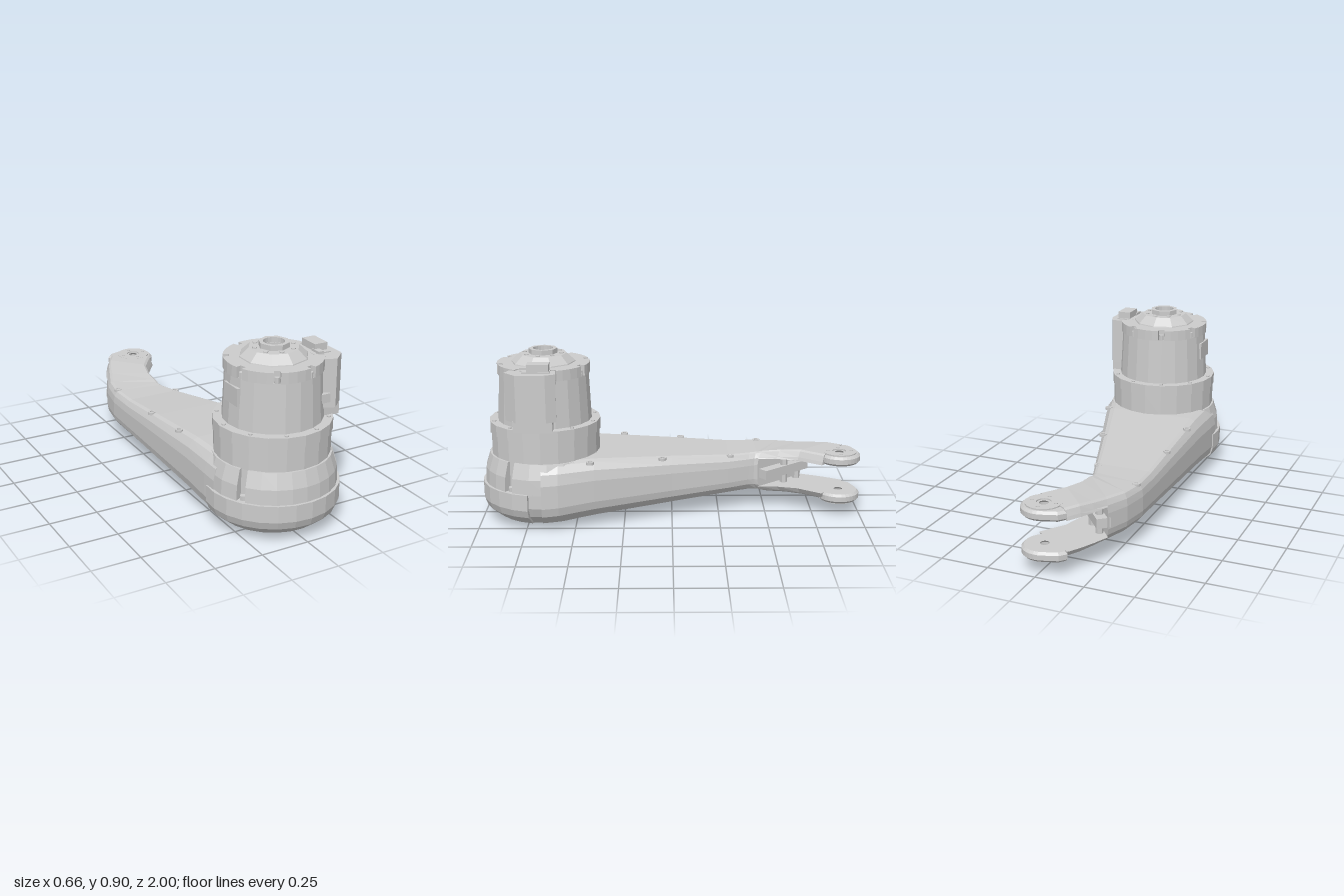
import * as THREE from 'three';

const mat = new THREE.MeshStandardMaterial({ color: 0xcccccc, flatShading: true, side: THREE.DoubleSide });
const CZ = 0.665; // motor axis
const rad = THREE.MathUtils.degToRad;

export function createModel() {
  const model = new THREE.Group();
  const add = (name, geo, x = 0, y = 0, z = 0, parent = model) => {
    const m = new THREE.Mesh(geo, mat);
    m.name = name;
    m.position.set(x, y, z);
    parent.add(m);
    return m;
  };
  const group = (name) => {
    const g = new THREE.Group();
    g.name = name;
    model.add(g);
    return g;
  };
  const vecs = (pts) => pts.map(([x, y]) => new THREE.Vector2(x, y));
  const lathe = (pts, n = 20) => new THREE.LatheGeometry(vecs(pts), n);
  // flat plate: outline drawn in (x, -z), thickness along y
  const plate = (shape, depth, bevel = 0) => new THREE.ExtrudeGeometry(shape, {
    depth: depth - 2 * bevel, bevelEnabled: bevel > 0, bevelSize: bevel, bevelOffset: -bevel,
    bevelThickness: bevel, bevelSegments: 1, curveSegments: 10,
  }).rotateX(-Math.PI / 2).translate(0, bevel, 0);
  const withHole = (shape, x, y, r) => {
    shape.holes.push(new THREE.Path().absarc(x, y, r, 0, Math.PI * 2, true));
    return shape;
  };

  // Right half of the arm's section, bottom to top, as fractions of width and height
  const half = [[0.3, 0], [0.55, 0.03], [0.8, 0.09], [0.96, 0.23], [1, 0.36], [1, 0.7], [0.96, 0.86], [0.87, 0.97], [0.78, 1]];
  const section = [...half, ...half.map(([u, v]) => [-u, v]).reverse()];

  // Loft through stations [left x, left z, right x, right z, bottom, top], heights clamped to lo..hi
  function loft(stations, lo = -1, hi = 9) {
    const n = section.length, pos = [], idx = [];
    const ring = ([lx, lz, rx, rz, yb, yt]) => section.map(([u, v]) => {
      const t = (u + 1) / 2, y = yb + v * (yt - yb);
      return [lx + (rx - lx) * t, Math.min(hi, Math.max(lo, y)), lz + (rz - lz) * t];
    });
    const rings = stations.map(ring);
    rings.forEach((r) => r.forEach((p) => pos.push(...p)));
    for (let i = 0; i < rings.length - 1; i++) {
      for (let j = 0; j < n; j++) {
        const a = i * n + j, b = i * n + (j + 1) % n;
        idx.push(a, a + n, b, b, a + n, b + n);
      }
    }
    // end caps
    [0, rings.length - 1].forEach((i) => {
      const c = pos.length / 3;
      pos.push(...[0, 1, 2].map((k) => rings[i].reduce((s, p) => s + p[k], 0) / n));
      for (let j = 0; j < n; j++) {
        const a = i * n + j, b = i * n + (j + 1) % n;
        idx.push(c, ...(i ? [b, a] : [a, b]));
      }
    });
    const g = new THREE.BufferGeometry();
    g.setAttribute('position', new THREE.Float32BufferAttribute(pos, 3));
    g.setIndex(idx);
    const flat = g.toNonIndexed();
    flat.computeVertexNormals();
    return flat;
  }

  // Solid slice of a turned profile between two angles (0 = front, 90 = +x)
  function sector(name, pts, a0, a1, n, parent) {
    add(name, new THREE.LatheGeometry(vecs([...pts, pts[0]]), n, rad(a0), rad(a1 - a0)), 0, 0, CZ, parent);
    [a0, a1].forEach((a) => add(name + 'End',
      new THREE.ShapeGeometry(new THREE.Shape(vecs(pts))).rotateY(rad(a - 90)), 0, 0, CZ, parent));
  }

  // Arm body
  const arm = group('arm');
  const root = [-0.25, -0.72, -0.035, -0.46, 0.08, 0.322];
  add('armBody', loft([
    [-0.322, CZ, 0.325, CZ, 0.0, 0.358],
    [-0.325, 0.58, 0.32, 0.58, 0.008, 0.362],
    [-0.325, 0.4, 0.258, 0.4, 0.028, 0.362],
    [-0.325, 0, 0.116, 0, 0.058, 0.335],
    [-0.325, -0.3, 0.015, -0.3, 0.082, 0.313],
    [-0.325, -0.46, -0.025, -0.41, 0.09, 0.313],
    [-0.3, -0.6, -0.035, -0.44, 0.087, 0.316],
    root,
  ]), 0, 0, 0, arm);

  // Fork prongs
  const prong = [
    root,
    [-0.215, -0.8, -0.034, -0.56, 0.077, 0.33],
    [-0.18, -0.87, -0.005, -0.67, 0.072, 0.338],
    [-0.14, -0.935, 0.08, -0.79, 0.07, 0.338],
  ];
  add('upperProng', loft(prong, 0.283), 0, 0, 0, arm);
  add('lowerProng', loft(prong, -1, 0.127), 0, 0, 0, arm);

  // Fork eyes with bolt holes and raised pads
  const eye = new THREE.Shape();
  eye.moveTo(-0.14, 0.935);
  eye.lineTo(-0.11, 0.97);
  eye.absarc(0, 0.89, 0.11, rad(110), rad(-130), true);
  eye.closePath();
  withHole(eye, 0, 0.89, 0.035);
  [[0.283, 0.328, 'upper'], [0.077, 0.05, 'lower']].forEach(([y, , side]) => {
    add(side + 'Eye', plate(eye, 0.05, 0.012), 0, y, 0, arm);
    const pad = withHole(new THREE.Shape().absarc(0, 0.89, 0.09, 0, Math.PI * 2), 0, 0.89, 0.036);
    add(side + 'Pad', plate(pad, 0.006), 0, side === 'upper' ? y + 0.05 : y - 0.006, 0, arm);
    for (let i = 0; i < 4; i++) {
      const a = i * Math.PI / 2;
      add(side + 'EyeBolt', new THREE.CylinderGeometry(0.009, 0.009, 0.004, 6),
        0.062 * Math.cos(a), side === 'upper' ? y + 0.057 : y - 0.007, -0.89 + 0.062 * Math.sin(a), arm);
    }
  });

  // Stiffening rib and posts between the prongs
  const rib = add('forkRib', new THREE.BoxGeometry(0.32, 0.05, 0.07), -0.13, 0.2, -0.605, arm);
  rib.rotation.y = -Math.atan2(0.26, 0.215);
  [[-0.19, -0.685], [-0.12, -0.61]].forEach(([x, z]) =>
    add('forkPost', new THREE.CylinderGeometry(0.02, 0.02, 0.17, 6), x, 0.205, z, arm));

  // Arm screws
  const screw = (name, x, y, z, r, parent) =>
    add(name, plate(withHole(new THREE.Shape().absarc(0, 0, r, 0, Math.PI * 2), 0, 0, r * 0.5), 0.014), x, y, z, parent);
  [[-0.292, 0.302, -0.47], [-0.02, 0.3, -0.31], [-0.292, 0.322, -0.05],
    [0.112, 0.325, 0.05], [-0.292, 0.342, 0.26], [0.237, 0.343, 0.42]].forEach(([x, y, z]) =>
    screw('armScrew', x, y, z, 0.02, arm));

  // Rounded housing under the motor, with a front cup and two side slots
  const housing = group('housing');
  const bowl = [[0, 0], [0.1, 0], [0.17, 0.01], [0.25, 0.032], [0.3, 0.08], [0.32, 0.13]];
  add('housingBowl', lathe([...bowl, [0.32, 0.205], [0.285, 0.205], [0.28, 0.355]], 22), 0, 0, CZ, housing);
  sector('frontCup', [[0, 0], [0.1, 0], [0.17, 0.008], [0.26, 0.03], [0.32, 0.08], [0.335, 0.12],
    [0.335, 0.205], [0.318, 0.205], [0.318, 0.12], [0.25, 0.045], [0, 0.02]], -100, 78, 12, housing);
  const wall = [[0.27, 0.2], [0.322, 0.2], [0.317, 0.28], [0.293, 0.357], [0.27, 0.357]];
  [[-54, 54, 8], [62, 298, 14]].forEach(([a, b, n]) => sector('housingWall', wall, a, b, n, housing));
  [-58, 58].forEach((a) => add('slotScrew', new THREE.CylinderGeometry(0.016, 0.016, 0.025, 8),
    0.295 * Math.sin(rad(a)), 0.215, CZ + 0.295 * Math.cos(rad(a)), housing));

  // Mounting collar
  const motor = group('motor');
  add('collar', lathe([[0.27, 0.35], [0.284, 0.355], [0.284, 0.472], [0.29, 0.472], [0.29, 0.53], [0.2, 0.53]]), 0, 0, CZ, motor);
  for (let i = 0; i < 10; i++) {
    const a = rad(18 + i * 36);
    add('collarBolt', new THREE.CylinderGeometry(0.01, 0.01, 0.008, 6),
      0.268 * Math.sin(a), 0.532, CZ + 0.268 * Math.cos(a), motor);
  }

  // Motor can
  add('motorCan', lathe([[0.245, 0.525], [0.233, 0.775], [0.21, 0.775], [0.21, 0.826], [0, 0.826]]), 0, 0, CZ, motor);

  // Notched top rim
  const rimPts = [];
  for (let i = 0; i < 8; i++) {
    const c = 17 + i * 45;
    [[-22.5, 0.24], [-12, 0.24], [-4, 0.24], [-4, 0.213], [4, 0.213], [4, 0.24], [12, 0.24]].forEach(([d, r]) =>
      rimPts.push([r * Math.cos(rad(c + d)), r * Math.sin(rad(c + d))]));
  }
  add('motorRim', plate(withHole(new THREE.Shape(vecs(rimPts)), 0, 0, 0.15), 0.055), 0, 0.775, CZ, motor);
  for (let i = 0; i < 8; i++) {
    const a = rad(17 + i * 45);
    add('rimScrew', new THREE.CylinderGeometry(0.013, 0.013, 0.03, 8),
      0.222 * Math.cos(a), 0.79, CZ - 0.222 * Math.sin(a), motor);
  }

  // Cap, hollow hub and cap bolts
  add('motorCap', lathe([[0.168, 0.825], [0.165, 0.835], [0.122, 0.875], [0.05, 0.875], [0.05, 0.845], [0, 0.845]], 10), 0, 0, CZ, motor);
  const hubPts = [...Array(8)].map((_, i) => [0.075 * Math.cos(i * Math.PI / 4), 0.075 * Math.sin(i * Math.PI / 4)]);
  add('hub', plate(withHole(new THREE.Shape(vecs(hubPts)), 0, 0, 0.052), 0.026), 0, 0.874, CZ, motor);
  for (let i = 0; i < 8; i++) {
    const a = rad(10 + i * 45);
    add('capBolt', new THREE.CylinderGeometry(0.012, 0.012, 0.008, 5),
      0.097 * Math.cos(a), 0.876, CZ + 0.097 * Math.sin(a), motor);
  }

  // Terminal box with a stepped foot and plug
  const box = group('terminalBox');
  const boxShape = new THREE.Shape(vecs([[0.17, -0.59], [0.28, -0.58], [0.305, -0.63], [0.305, -0.78], [0.24, -0.84], [0.17, -0.81]]));
  add('boxBody', plate(boxShape, 0.245), 0, 0.58, 0, box);
  add('boxFoot', new THREE.BoxGeometry(0.1, 0.06, 0.2), 0.24, 0.555, 0.7, box);
  add('boxLip', new THREE.BoxGeometry(0.1, 0.018, 0.14), 0.215, 0.822, 0.68, box);
  add('plug', new THREE.BoxGeometry(0.07, 0.036, 0.11), 0.225, 0.85, 0.67, box);
  add('plugTab', new THREE.BoxGeometry(0.03, 0.012, 0.06), 0.2, 0.838, 0.735, box);
  add('cableClip', new THREE.BoxGeometry(0.05, 0.045, 0.04), 0.185, 0.635, 0.82, box);

  // Side plate on the motor can
  add('sidePlate', new THREE.BoxGeometry(0.02, 0.09, 0.12), -0.231, 0.685, 0.68, motor);

  return model;
}
